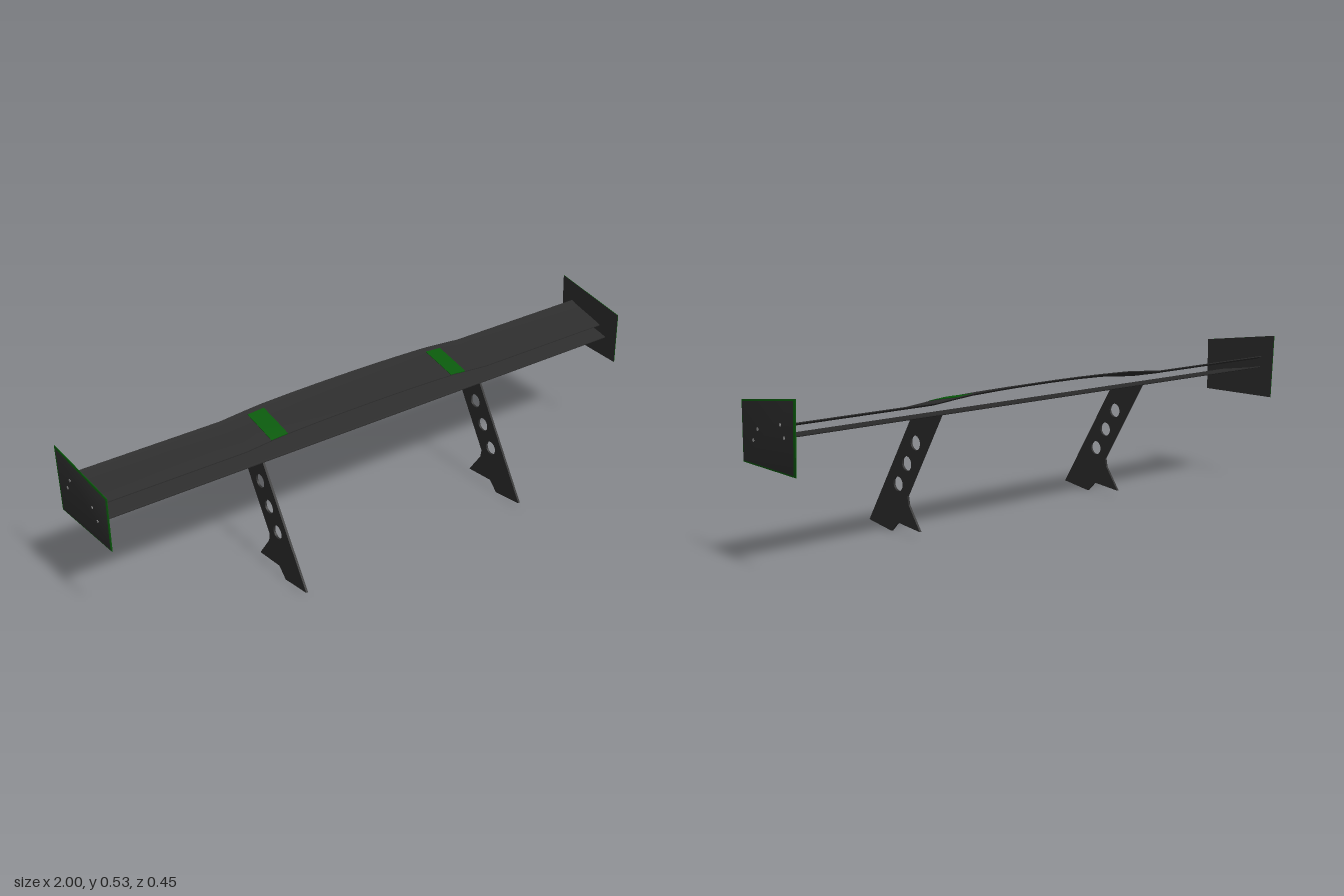
import * as THREE from 'three';
import { toCreasedNormals } from 'three/addons/utils/BufferGeometryUtils.js';

const material = (name, color) => {
  const m = new THREE.MeshStandardMaterial({ color });
  m.name = name;
  return m;
};

// Joins rings of points (ordered towards +x) into a closed solid.
// Group 0 holds the sides, group 1 the two end caps.
function loft(rings) {
  const pos = [];
  const tri = (...pts) => pts.forEach((p) => pos.push(...p));
  for (let r = 0; r < rings.length - 1; r++) {
    const a = rings[r], b = rings[r + 1];
    for (let i = 0; i < a.length; i++) {
      const j = (i + 1) % a.length;
      tri(a[i], a[j], b[j]);
      tri(a[i], b[j], b[i]);
    }
  }
  const sideCount = pos.length / 3;
  const first = rings[0], last = rings[rings.length - 1];
  for (let i = 1; i < first.length - 1; i++) {
    tri(first[0], first[i + 1], first[i]);
    tri(last[0], last[i], last[i + 1]);
  }
  const g = new THREE.BufferGeometry();
  g.setAttribute('position', new THREE.Float32BufferAttribute(pos, 3));
  g.addGroup(0, sideCount, 0);
  g.addGroup(sideCount, pos.length / 3 - sideCount, 1);
  return toCreasedNormals(g, 0.5);
}

// Inner face of the slightly angled end plates
const plateX = (z) => 0.982 + (0.067 - z) * 0.045;

// Rise of the upper blade towards the middle of the span
const RISE = [[0, 0.018], [0.1, 0.0175], [0.2, 0.016], [0.32, 0.0125], [0.38, 0.008], [0.47, 0], [1, 0]];
function rise(x) {
  const ax = Math.abs(x);
  const i = Math.max(1, RISE.findIndex((p) => p[0] >= ax));
  const [x0, y0] = RISE[i - 1], [x1, y1] = RISE[i];
  return y0 + ((y1 - y0) * (ax - x0)) / (x1 - x0);
}

// Thin blade section: top line given back to front as [z, y], with a thickness below it
const section = (top, t) => [
  ...top,
  ...[...top].reverse().map(([z, y], i) => [z, y - (i === 0 || i === top.length - 1 ? 0.003 : t)]),
];

function blade(profile, xs, lift) {
  return loft(xs.map((x) => profile.map(([z, y]) => [
    Math.abs(x) === 1 ? x * (plateX(z) + 0.001) : x, y + lift(x), z,
  ])));
}

export function createModel() {
  const carbon = material('dark carbon', 0x2d2d2d);
  const green = material('green trim', 0x0a5a0c);
  const steel = material('bolt grey', 0x999999);

  const model = new THREE.Group();
  model.name = 'rearWing';
  const add = (name, geometry, mat, parent = model) => {
    const mesh = new THREE.Mesh(geometry, mat);
    mesh.name = name;
    parent.add(mesh);
    return mesh;
  };

  // Straight lower blade
  const lowerTop = [[-0.17, 0.413], [-0.12, 0.403], [-0.06, 0.394], [-0.01, 0.387], [0.012, 0.382]];
  add('lowerBlade', blade(section(lowerTop, 0.006), [-1, 1], () => 0), carbon);

  // Upper blade, arched in the middle
  const upperTop = [[-0.174, 0.45], [-0.155, 0.444], [-0.11, 0.435], [-0.06, 0.425], [-0.02, 0.416]];
  const half = RISE.map((p) => p[0]);
  const span = [...half.slice(1).reverse().map((x) => -x), ...half];
  add('upperBlade', blade(section(upperTop, 0.006), span, rise), carbon);

  // Green stripes across the upper blade
  const stripeTop = upperTop.slice(1).map(([z, y]) => [z, y + 0.0015]);
  for (const s of [-1, 1]) {
    const xs = [s * 0.35 - 0.03, s * 0.35, s * 0.35 + 0.03];
    add(s > 0 ? 'leftStripe' : 'rightStripe', blade(section(stripeTop, 0.003), xs, rise), green);
  }

  // Support strut outline, drawn as (-z, y)
  const outline = [[0.228, 0.017], [0.113, 0.001], [0.079, 0.034], [-0.031, 0.024], [0.024, 0.1],
    [0.029, 0.127], [-0.14, 0.403], [-0.06, 0.39], [0.001, 0.382]];
  const strutShape = new THREE.Shape(outline.map(([z, y]) => new THREE.Vector2(-z, y)));
  for (let i = 0; i < 3; i++) {
    const hole = new THREE.Path();
    hole.absarc(-0.075 + i * 0.0445, 0.158 + i * 0.071, 0.0232, 0, Math.PI * 2, true);
    strutShape.holes.push(hole);
  }
  const strut = new THREE.ExtrudeGeometry(strutShape, { depth: 0.007, bevelEnabled: false, curveSegments: 20 });
  strut.translate(0, 0, -0.0035).rotateY(Math.PI / 2);

  // End plate outlines: inner face full size, outer face inset by the green rim
  const innerFace = [[-0.227, 0.526], [0.067, 0.487], [0.067, 0.307], [-0.218, 0.307]];
  const outerFace = [[-0.217, 0.519], [0.062, 0.482], [0.062, 0.312], [-0.209, 0.312]];
  const bolts = [[0.003, 0.379], [-0.022, 0.414], [-0.146, 0.444], [-0.165, 0.41]];

  for (const s of [1, -1]) {
    const side = s > 0 ? 'left' : 'right';
    add(side + 'Strut', strut, carbon).position.x = s * 0.427;

    const end = new THREE.Group();
    end.name = side + 'EndPlate';
    model.add(end);
    const ring = (pts, t) => pts.map(([z, y]) => [s * (plateX(z) + t), y, z]);
    // Short square edge, then a bevel to the outer face
    const rings = [ring(innerFace, 0), ring(innerFace, 0.002), ring(outerFace, 0.004)];
    if (s < 0) rings.reverse();
    add('plate', loft(rings), [green, carbon], end);

    for (const [z, y] of bolts) {
      const bolt = add('bolt', new THREE.CylinderGeometry(0.005, 0.005, 0.004, 10), steel, end);
      bolt.rotation.z = Math.PI / 2;
      bolt.position.set(s * (plateX(z) + 0.003), y, z);
    }
  }
  return model;
}
